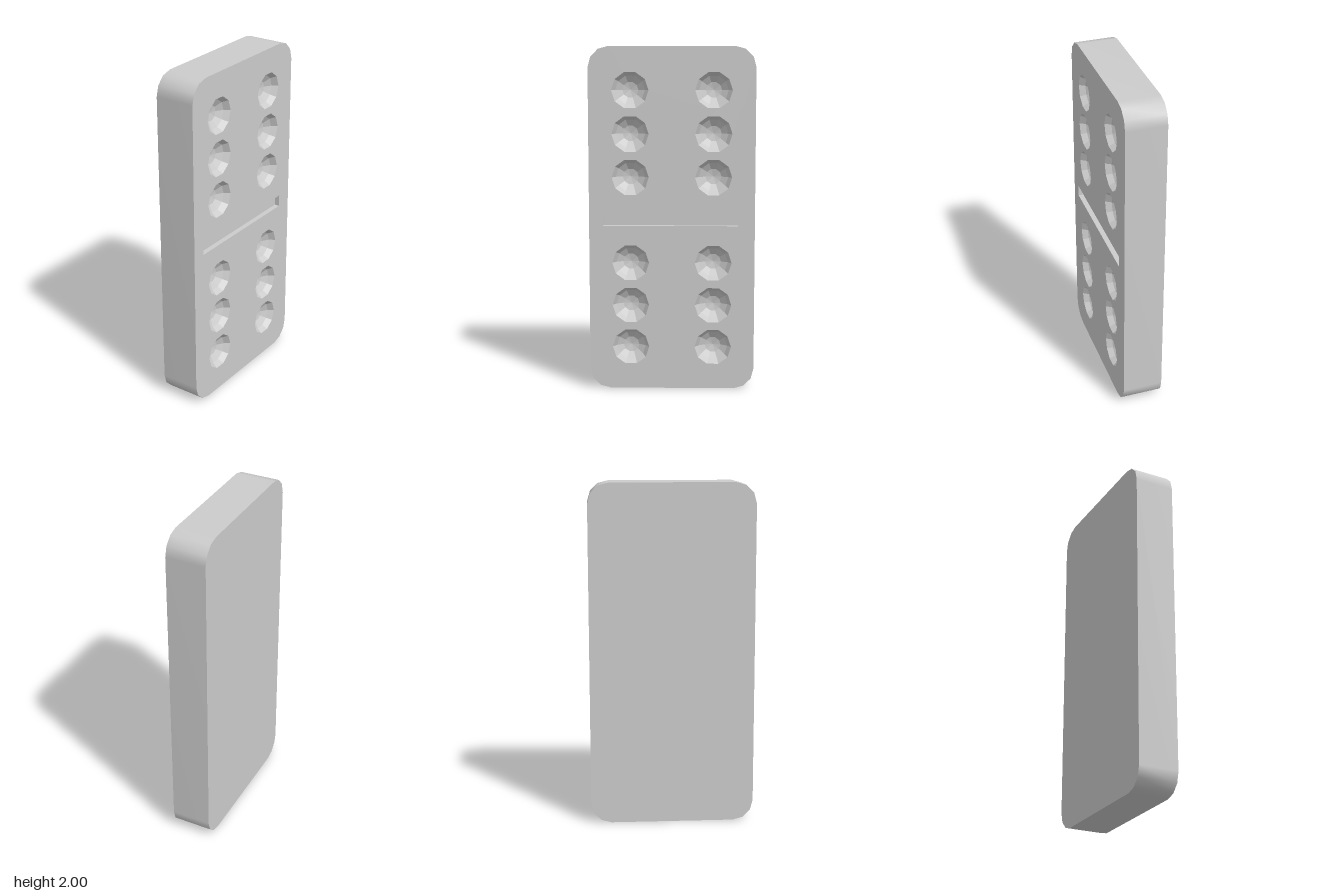
import * as THREE from 'three';

const HALF_T = 0.118, HALF_W = 0.48, HALF_H = 1, CORNER = 0.12;
const material = new THREE.MeshStandardMaterial({ color: 0xcccccc });
const flatMaterial = new THREE.MeshStandardMaterial({ color: 0xcccccc, flatShading: true });

// Rounded outline, three segments per corner, counter-clockwise
function tileOutline() {
  const points = [];
  for (let c = 0; c < 4; c++) {
    const cx = (c === 0 || c === 3 ? 1 : -1) * (HALF_W - CORNER);
    const cy = (c < 2 ? 1 : -1) * (HALF_H - CORNER);
    for (let i = 0; i <= 3; i++) {
      const a = (c + i / 3) * Math.PI / 2;
      points.push(new THREE.Vector2(cx + CORNER * Math.cos(a), cy + CORNER * Math.sin(a)));
    }
  }
  return points;
}

function decagon(r, x, y) {
  return Array.from({ length: 10 }, (_, i) => {
    const a = i * Math.PI / 5;
    return new THREE.Vector2(x + r * Math.cos(a), y + r * Math.sin(a));
  });
}

function rectangle(w, h, x, y) {
  return [[-1, -1], [1, -1], [1, 1], [-1, 1]].map(([a, b]) => new THREE.Vector2(x + a * w / 2, y + b * h / 2));
}

// Closed strip through matching loops; an optional tip [x, y, z] closes the last one
function loft(loops, depths, tip) {
  const n = loops[0].length, pos = [], index = [];
  loops.forEach((loop, k) => loop.forEach(p => pos.push(p.x, p.y, depths[k])));
  for (let k = 0; k < loops.length - 1; k++) {
    for (let i = 0; i < n; i++) {
      const a = k * n + i, b = k * n + (i + 1) % n;
      index.push(a, b, b + n, a, b + n, a + n);
    }
  }
  if (tip) {
    const base = (loops.length - 1) * n;
    pos.push(...tip);
    for (let i = 0; i < n; i++) index.push(base + i, base + (i + 1) % n, base + n);
  }
  const g = new THREE.BufferGeometry();
  g.setAttribute('position', new THREE.Float32BufferAttribute(pos, 3));
  g.setIndex(index);
  g.computeVertexNormals();
  return g;
}

function addMesh(group, name, geometry, mat) {
  const mesh = new THREE.Mesh(geometry, mat);
  mesh.name = name;
  group.add(mesh);
  return mesh;
}

export function createModel() {
  const tile = new THREE.Group();
  tile.name = 'tile';
  const outline = tileOutline();
  const face = new THREE.Shape(outline);

  // Rim and plain back
  addMesh(tile, 'rim', loft([outline, outline], [-HALF_T, HALF_T]), material);
  const back = addMesh(tile, 'plainFace', new THREE.ShapeGeometry(new THREE.Shape(outline)), material);
  back.rotation.y = Math.PI;
  back.position.z = -HALF_T;

  // Faceted bowl-shaped pips, two columns of six
  const bowl = [[0.107, 0], [0.085, 0.033], [0.046, 0.059]], bowlDepth = 0.068;
  for (const x of [-0.24, 0.24]) {
    for (const y of [-0.75, -0.5, -0.25, 0.25, 0.5, 0.75]) {
      const loops = bowl.map(([r]) => decagon(r, x, y));
      face.holes.push(new THREE.Path(loops[0]));
      addMesh(tile, 'pip', loft(loops, bowl.map(b => HALF_T - b[1]), [x, y, HALF_T - bowlDepth]), flatMaterial);
    }
  }

  // Dividing groove
  const gx = -0.008, gy = 0.003, floor = HALF_T - 0.03;
  const slot = rectangle(0.78, 0.07, gx, gy);
  face.holes.push(new THREE.Path(slot));
  addMesh(tile, 'groove', loft([slot, slot], [HALF_T, floor], [gx, gy, floor]), flatMaterial);

  // Pierced face
  addMesh(tile, 'pipFace', new THREE.ShapeGeometry(face), material).position.z = HALF_T;

  // Stand the tile up with the pips towards +x
  tile.rotation.y = Math.PI / 2;
  tile.position.y = HALF_H;
  const model = new THREE.Group();
  model.name = 'dominoTile';
  model.add(tile);
  return model;
}
